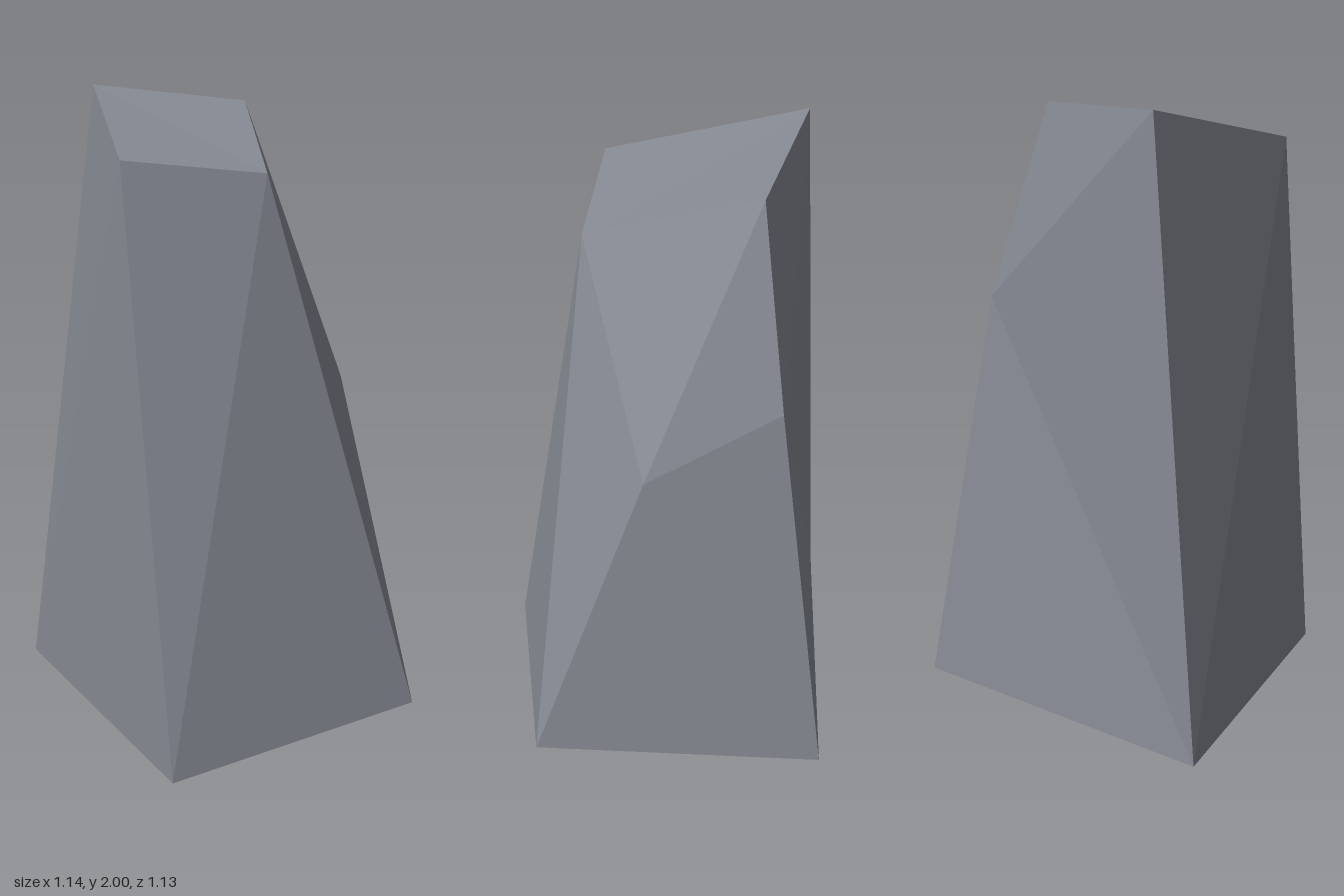
import * as THREE from 'three';

// Corners of the faceted stone
const P = {
  // base loop
  A: [-0.572, 0.063, -0.432], B: [-0.217, 0, 0.566], C: [0.572, 0.117, 0.338], D: [0.439, 0.08, -0.567],
  // chipped corners on the right and back
  E: [0.302, 1.34, -0.39], F: [0.396, 1.105, 0.01],
  // top loop
  a: [-0.347, 2, -0.366], b: [-0.323, 1.824, 0.252], c: [0.116, 1.777, 0.236], d: [0.134, 1.95, -0.296],
};

// Each word is one facet, its corners counter-clockwise from outside
const FACETS = [
  'abc', 'acd',               // sloping top
  'aAb', 'ABb',               // left side
  'bBc', 'BCc',               // front
  'cCF', 'cFd', 'dFE', 'FCDE', // right side with chip
  'dEa', 'EAa', 'EDA',        // back
  'DCB', 'DBA',               // underside
];

function facetGeometry() {
  const positions = [];
  for (const f of FACETS) {
    for (let i = 1; i < f.length - 1; i++) positions.push(...P[f[0]], ...P[f[i]], ...P[f[i + 1]]);
  }
  const geo = new THREE.BufferGeometry();
  geo.setAttribute('position', new THREE.Float32BufferAttribute(positions, 3));
  geo.computeVertexNormals(); // unshared corners keep the facets flat
  return geo;
}

export function createModel() {
  const stone = new THREE.MeshStandardMaterial({ color: 0x858992 });
  stone.name = 'slateGrey';
  stone.flatShading = true;

  const rock = new THREE.Mesh(facetGeometry(), stone);
  rock.name = 'standingStone';

  const group = new THREE.Group();
  group.name = 'rock';
  group.add(rock);
  return group;
}
